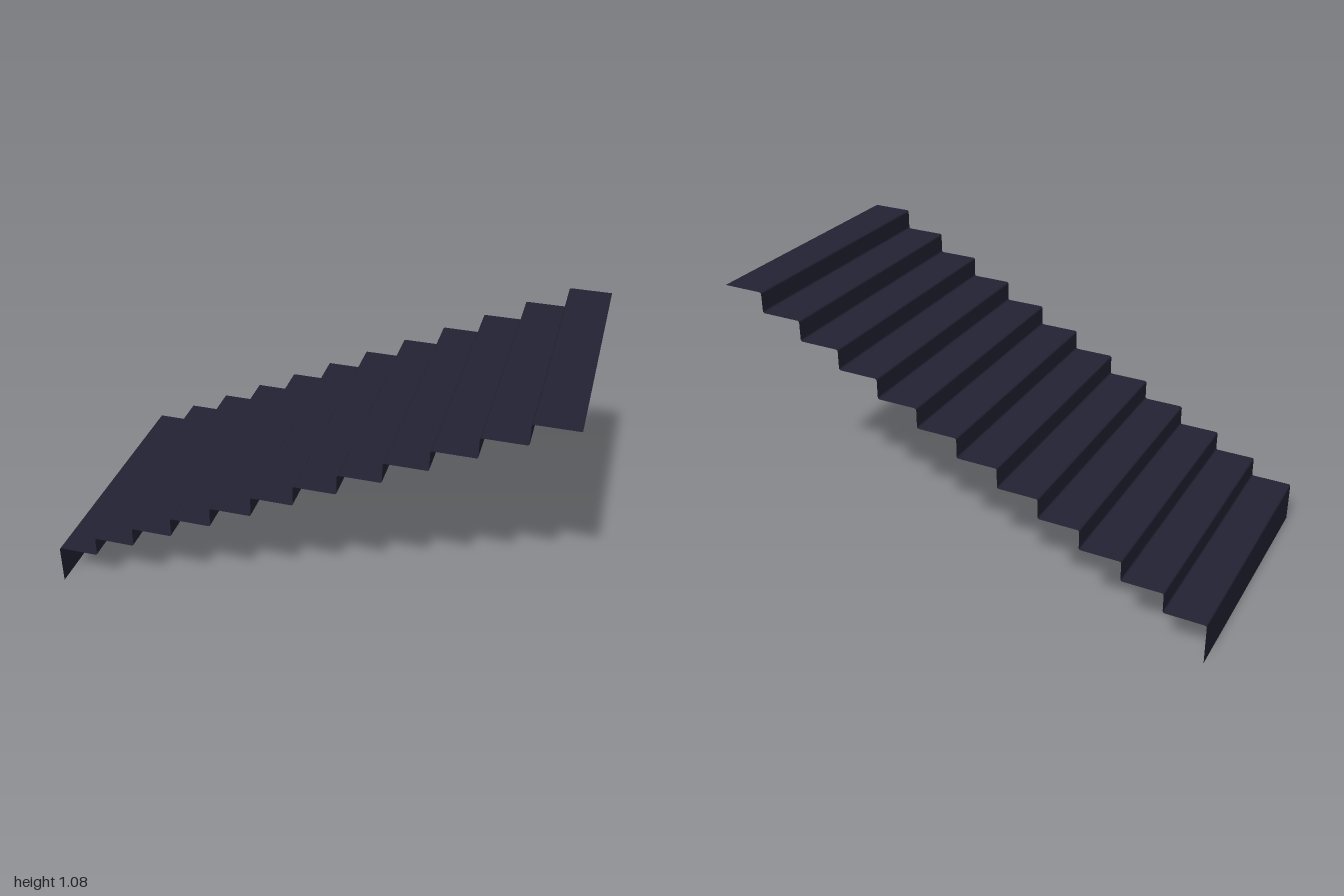
import * as THREE from 'three';

const STEPS = 12;
const RUN = 2 / STEPS;      // tread depth
const RISE = 1 / 12;        // height of each riser; the first one is double
const HALF_WIDTH = 0.527;
const RADIUS = 0.008;       // small fold radius at every corner
const ARC = 4;

// Folded profile as points with their normals: [x, y, nx, ny]
function stairProfile() {
  const points = [[-1, 0, -1, 0]];
  const fold = (cx, cy, from, to, sign) => {
    for (let i = 0; i <= ARC; i++) {
      const a = from + (to - from) * i / ARC;
      const c = Math.cos(a), s = Math.sin(a);
      points.push([cx + RADIUS * c, cy + RADIUS * s, sign * c, sign * s]);
    }
  };
  for (let k = 0; k < STEPS; k++) {
    const x = -1 + k * RUN, y = (k + 2) * RISE;
    // Nose of the tread
    fold(x + RADIUS, y - RADIUS, Math.PI, Math.PI / 2, 1);
    // Inner corner below the next riser
    if (k < STEPS - 1) fold(x + RUN - RADIUS, y + RADIUS, -Math.PI / 2, 0, -1);
  }
  points.push([1, (STEPS + 1) * RISE, 0, 1]);
  return points;
}

// Sweep the profile across the width as an open sheet
function sheetGeometry(profile) {
  const positions = [], normals = [], index = [];
  profile.forEach(([x, y, nx, ny], i) => {
    for (const z of [HALF_WIDTH, -HALF_WIDTH]) {
      positions.push(x, y, z);
      normals.push(nx, ny, 0);
    }
    if (i < profile.length - 1) {
      const a = 2 * i;
      index.push(a, a + 2, a + 1, a + 1, a + 2, a + 3);
    }
  });
  const geometry = new THREE.BufferGeometry();
  geometry.setAttribute('position', new THREE.Float32BufferAttribute(positions, 3));
  geometry.setAttribute('normal', new THREE.Float32BufferAttribute(normals, 3));
  geometry.setIndex(index);
  return geometry;
}

export function createModel() {
  const group = new THREE.Group();
  group.name = 'staircase';
  const material = new THREE.MeshStandardMaterial({ color: 0x222233, side: THREE.DoubleSide });
  material.name = 'dark slate';
  // Treads and risers as one folded sheet
  const stairs = new THREE.Mesh(sheetGeometry(stairProfile()), material);
  stairs.name = 'treadsAndRisers';
  group.add(stairs);
  return group;
}
